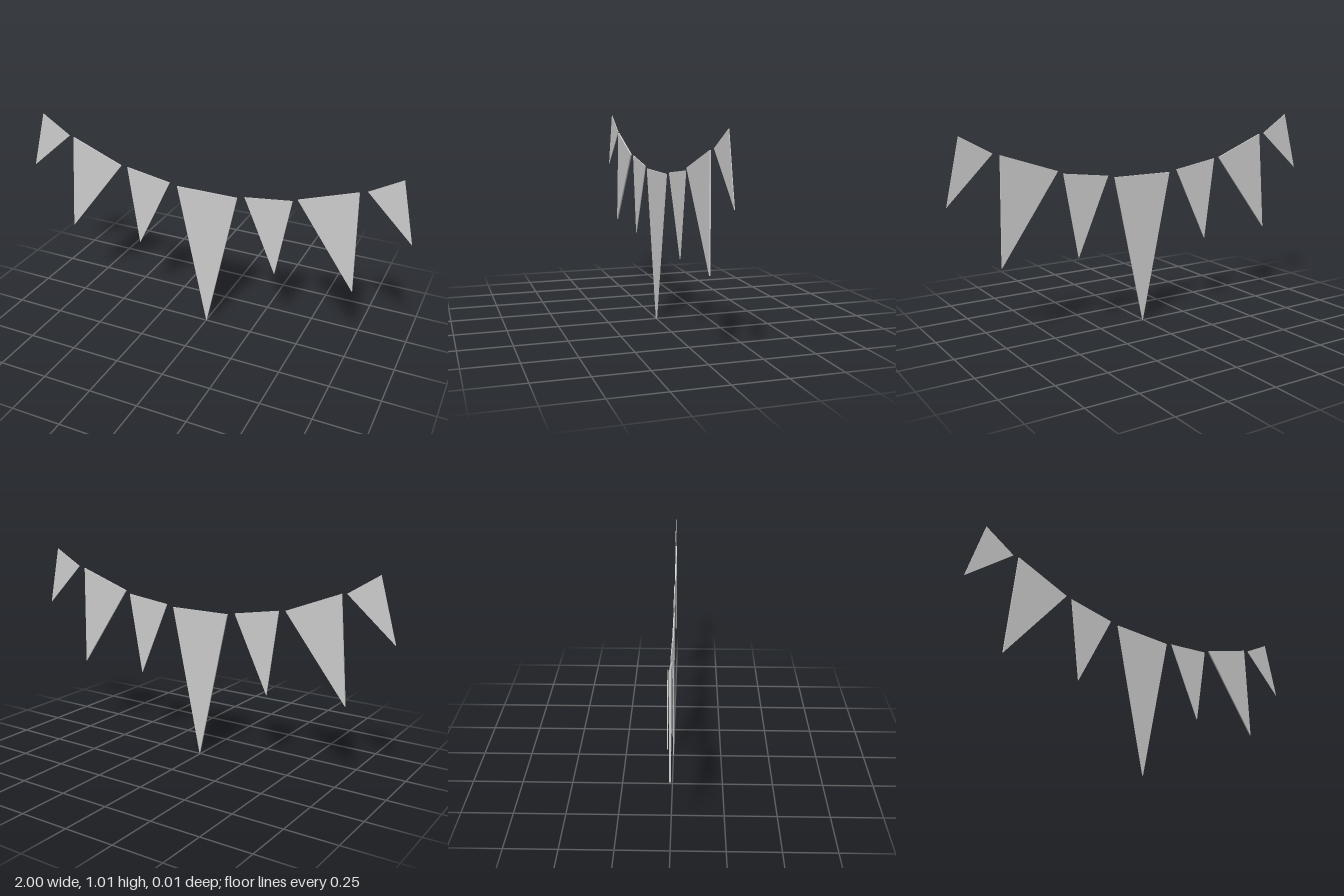
import * as THREE from 'three';

// Each pennant: top left, top right, hanging tip, back z, thickness
const PENNANTS = [
  ['outerRightPennant', [-0.917, 1.007], [-0.767, 0.912], [-1, 0.711], -0.004, 0.003],
  ['largeRightPennant', [-0.741, 0.909], [-0.468, 0.802], [-0.783, 0.398], -0.002, 0.007],
  ['smallRightPennant', [-0.436, 0.799], [-0.198, 0.759], [-0.38, 0.382], -0.004, 0.004],
  ['centerPennant', [-0.156, 0.749], [0.163, 0.749], [0.003, 0], -0.003, 0.007],
  ['smallLeftPennant', [0.2, 0.76], [0.439, 0.789], [0.366, 0.377], -0.004, 0.004],
  ['largeLeftPennant', [0.465, 0.803], [0.746, 0.896], [0.757, 0.382], -0.002, 0.007],
  ['outerLeftPennant', [0.781, 0.905], [0.933, 0.989], [1, 0.687], -0.004, 0.003],
];

export function createModel() {
  const group = new THREE.Group();
  group.name = 'pennantBunting';
  const material = new THREE.MeshStandardMaterial({ color: 0xcccccc, flatShading: true });

  // Thin triangular slabs hung along a sagging curve
  for (const [name, left, right, tip, back, depth] of PENNANTS) {
    const outline = new THREE.Shape([left, tip, right].map(([x, y]) => new THREE.Vector2(x, y)));
    const geometry = new THREE.ExtrudeGeometry(outline, { depth, bevelEnabled: false });
    geometry.translate(0, 0, back);
    const mesh = new THREE.Mesh(geometry, material);
    mesh.name = name;
    group.add(mesh);
  }
  return group;
}
